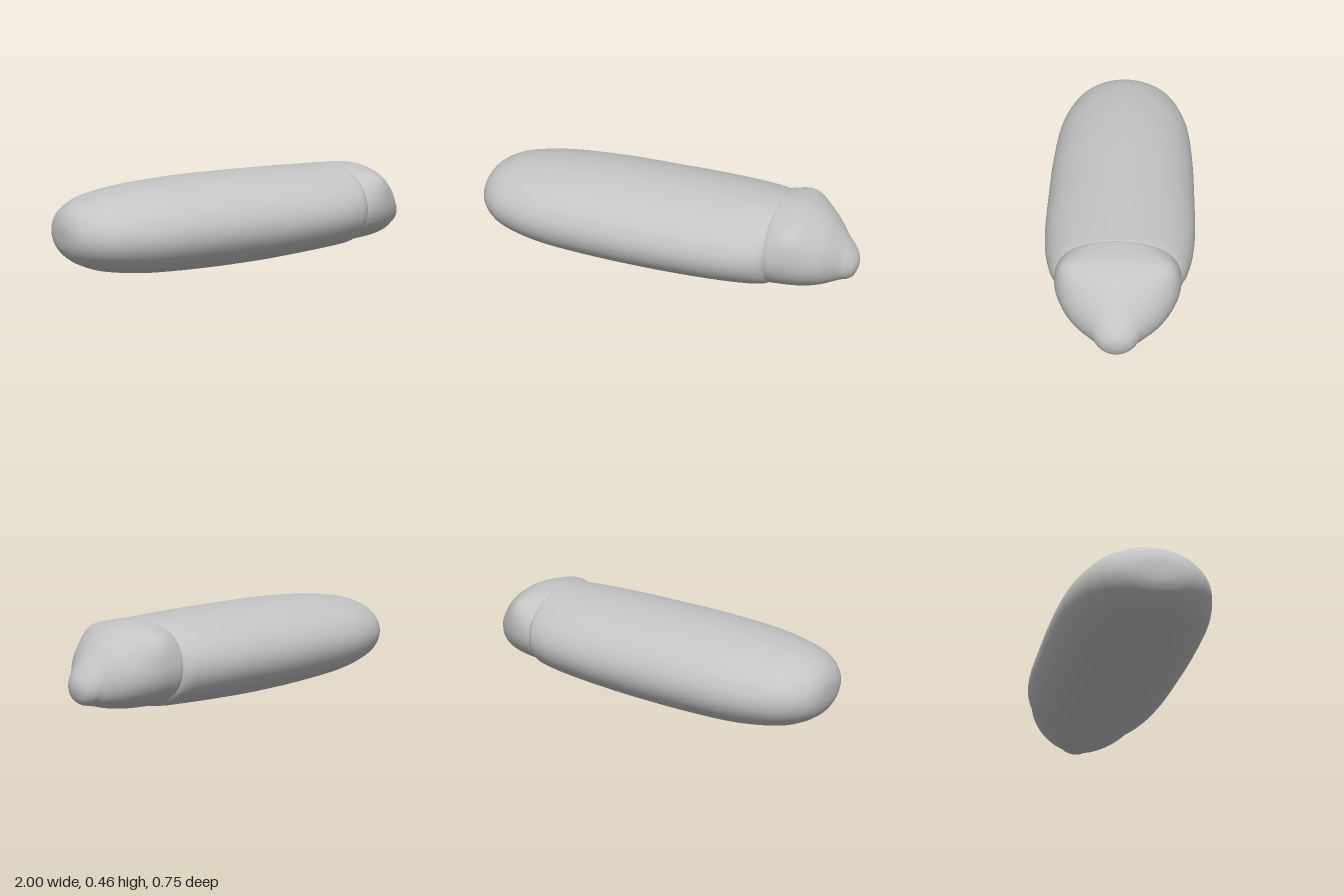
import * as THREE from 'three';

// Smooth skin through elliptical sections: [x, halfWidth, top, bottom]
function loft(stations, steps, sides, shape) {
  const width = new THREE.CatmullRomCurve3(stations.map(([x, w]) => new THREE.Vector3(x, w, 0)), false, 'catmullrom', 0.5);
  const height = new THREE.CatmullRomCurve3(stations.map(([x, , t, b]) => new THREE.Vector3(x, t, b)), false, 'catmullrom', 0.5);
  const pos = [], index = [], p = new THREE.Vector3();
  for (let i = 0; i <= steps; i++) {
    const w = width.getPoint(i / steps), h = height.getPoint(i / steps);
    for (let j = 0; j < sides; j++) {
      const a = (j / sides) * Math.PI * 2;
      p.set(w.x, (h.y + h.z) / 2 + Math.sin(a) * (h.y - h.z) / 2, Math.cos(a) * w.y);
      if (shape) shape(p);
      pos.push(p.x, p.y, p.z);
      if (i < steps) {
        const k = (j + 1) % sides, q = i * sides, r = q + sides;
        index.push(q + j, r + j, q + k, r + j, r + k, q + k);
      }
    }
  }
  const g = new THREE.BufferGeometry();
  g.setAttribute('position', new THREE.Float32BufferAttribute(pos, 3));
  g.setIndex(index);
  g.computeVertexNormals();
  return g;
}

// Raises soft eye mounds on both sides of the head
function eyeMounds(p) {
  const side = p.z < 0 ? -1 : 1;
  const dx = p.x - 0.69, dy = p.y - 0.36, dz = Math.abs(p.z) - 0.21;
  const lift = 0.04 * Math.exp(-(dx * dx + dy * dy + dz * dz) / 0.009);
  p.x += lift * 0.15;
  p.y += lift * 0.5;
  p.z += lift * 0.75 * side;
}

export function createModel() {
  const skin = new THREE.MeshStandardMaterial({ color: 0xc4c4c4 });
  skin.name = 'pale grey skin';
  const group = new THREE.Group();
  group.name = 'grub';
  const add = (name, geometry) => {
    const mesh = new THREE.Mesh(geometry, skin);
    mesh.name = name;
    group.add(mesh);
  };

  // Long body, blunt at the tail and pinched in at the neck
  add('body', loft([
    [-1, 0.001, 0.236, 0.234], [-0.998, 0.06, 0.276, 0.2], [-0.988, 0.12, 0.312, 0.163],
    [-0.96, 0.18, 0.354, 0.124], [-0.9, 0.245, 0.393, 0.085], [-0.8, 0.3, 0.423, 0.05],
    [-0.6, 0.35, 0.449, 0.02], [-0.3, 0.37, 0.463, 0.005], [0, 0.373, 0.463, 0.002],
    [0.25, 0.371, 0.46, 0.009], [0.42, 0.358, 0.456, 0.016], [0.52, 0.338, 0.454, 0.02],
    [0.565, 0.322, 0.453, 0.023], [0.595, 0.296, 0.45, 0.03], [0.61, 0.25, 0.43, 0.06],
  ], 112, 72));

  // Head with eye mounds, tapering into a small low snout
  add('head', loft([
    [0.56, 0.27, 0.43, 0.05], [0.595, 0.293, 0.45, 0.032], [0.64, 0.296, 0.451, 0.034],
    [0.7, 0.289, 0.446, 0.037], [0.75, 0.273, 0.434, 0.04], [0.8, 0.248, 0.41, 0.046],
    [0.85, 0.21, 0.375, 0.056], [0.89, 0.165, 0.335, 0.068], [0.925, 0.121, 0.297, 0.077],
    [0.955, 0.097, 0.262, 0.084], [0.98, 0.07, 0.228, 0.102], [0.995, 0.036, 0.2, 0.136],
    [1, 0.001, 0.171, 0.169],
  ], 96, 72, eyeMounds));

  return group;
}
